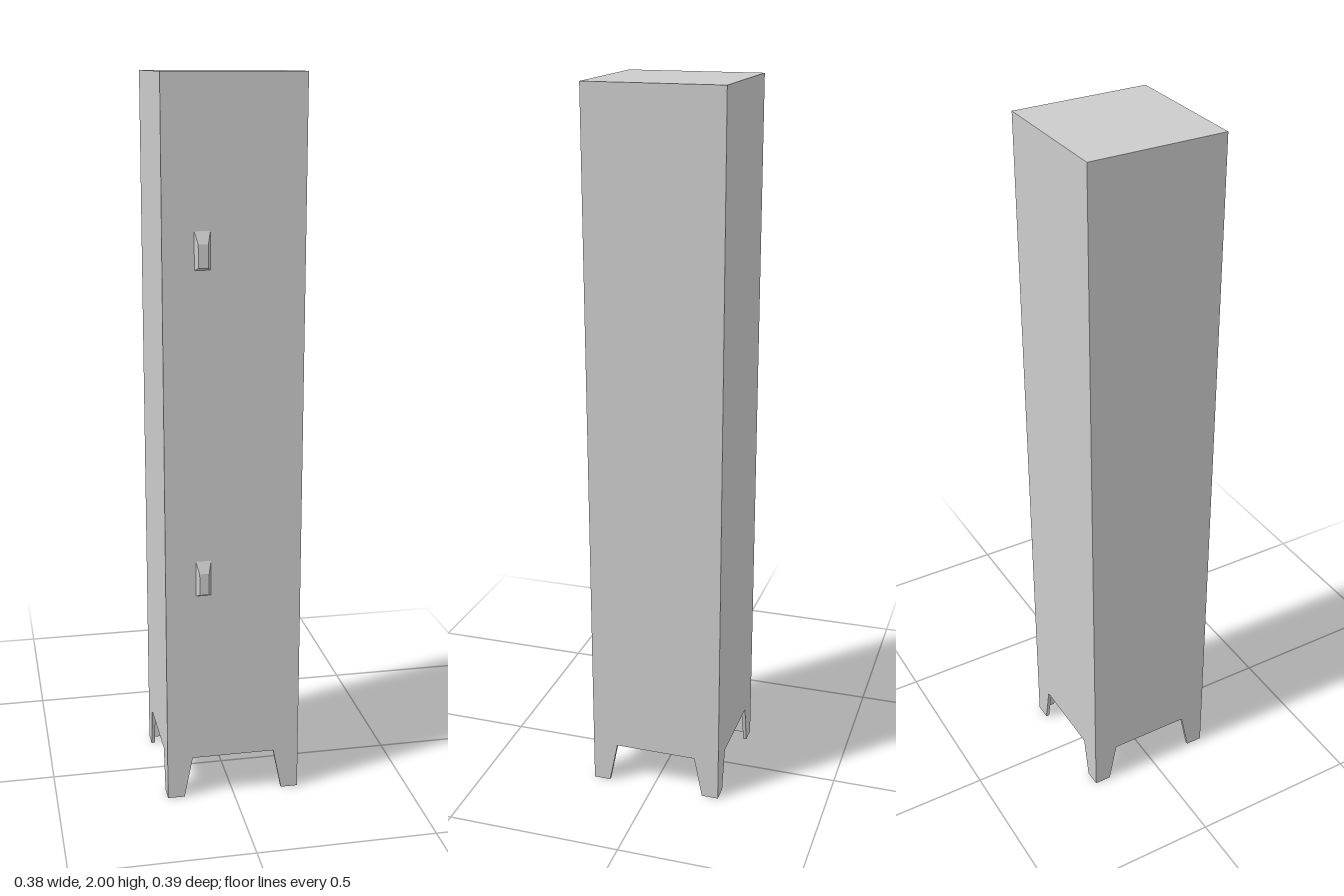
import * as THREE from 'three';

const material = new THREE.MeshStandardMaterial({ color: 0xcccccc, flatShading: true });
const HALF = 0.189;      // half width and depth of the cabinet
const TOP = 2;
const FLOOR = 0.12;      // underside of the cabinet
const SHEET = 0.01;      // thickness of the leg plates
const CENTRE_Z = -0.008; // the handles stick out in front

function addMesh(parent, geometry, name, x = 0, y = 0, z = 0) {
  const mesh = new THREE.Mesh(geometry, material);
  mesh.name = name;
  mesh.position.set(x, y, z);
  parent.add(mesh);
  return mesh;
}

// Tapered plate, its outer edge at x = 0
function legPlate() {
  const shape = new THREE.Shape([[0, 0], [0, FLOOR], [-0.072, FLOOR], [-0.048, 0]]
    .map(([x, y]) => new THREE.Vector2(x, y)));
  return new THREE.ExtrudeGeometry(shape, { depth: SHEET, bevelEnabled: false });
}

// Angle-section leg of two plates meeting at the corner
function createLeg(sx, sz) {
  const leg = new THREE.Group();
  leg.name = (sz > 0 ? 'front' : 'back') + (sx > 0 ? 'Left' : 'Right') + 'Leg';
  addMesh(leg, legPlate(), 'legFacePlate', HALF, 0, HALF - SHEET);
  addMesh(leg, legPlate().rotateY(-Math.PI / 2), 'legSidePlate', HALF, 0, HALF);
  leg.scale.set(sx, 1, sz);
  return leg;
}

// Handle: a block whose front face is narrowed, with a long slope on top
function handleGeometry() {
  const geometry = new THREE.BoxGeometry(0.042, 0.1, 0.014);
  const p = geometry.attributes.position;
  for (let i = 0; i < p.count; i++) {
    if (p.getZ(i) < 0) continue;
    p.setX(i, p.getX(i) * 0.62);
    p.setY(i, p.getY(i) > 0 ? 0.018 : -0.043);
  }
  geometry.computeVertexNormals();
  return geometry;
}

export function createModel() {
  const group = new THREE.Group();
  group.name = 'locker';
  const cabinet = new THREE.Group();
  cabinet.name = 'cabinet';
  cabinet.position.z = CENTRE_Z;
  group.add(cabinet);

  // Cabinet body
  addMesh(cabinet, new THREE.BoxGeometry(HALF * 2, TOP - FLOOR, HALF * 2), 'body', 0, (TOP + FLOOR) / 2, 0);

  // Four legs
  for (const sx of [1, -1]) for (const sz of [1, -1]) cabinet.add(createLeg(sx, sz));

  // Upper and lower door handles
  addMesh(cabinet, handleGeometry(), 'upperHandle', -0.084, 1.557, HALF + 0.007);
  addMesh(cabinet, handleGeometry(), 'lowerHandle', -0.084, 0.662, HALF + 0.007);

  return group;
}
